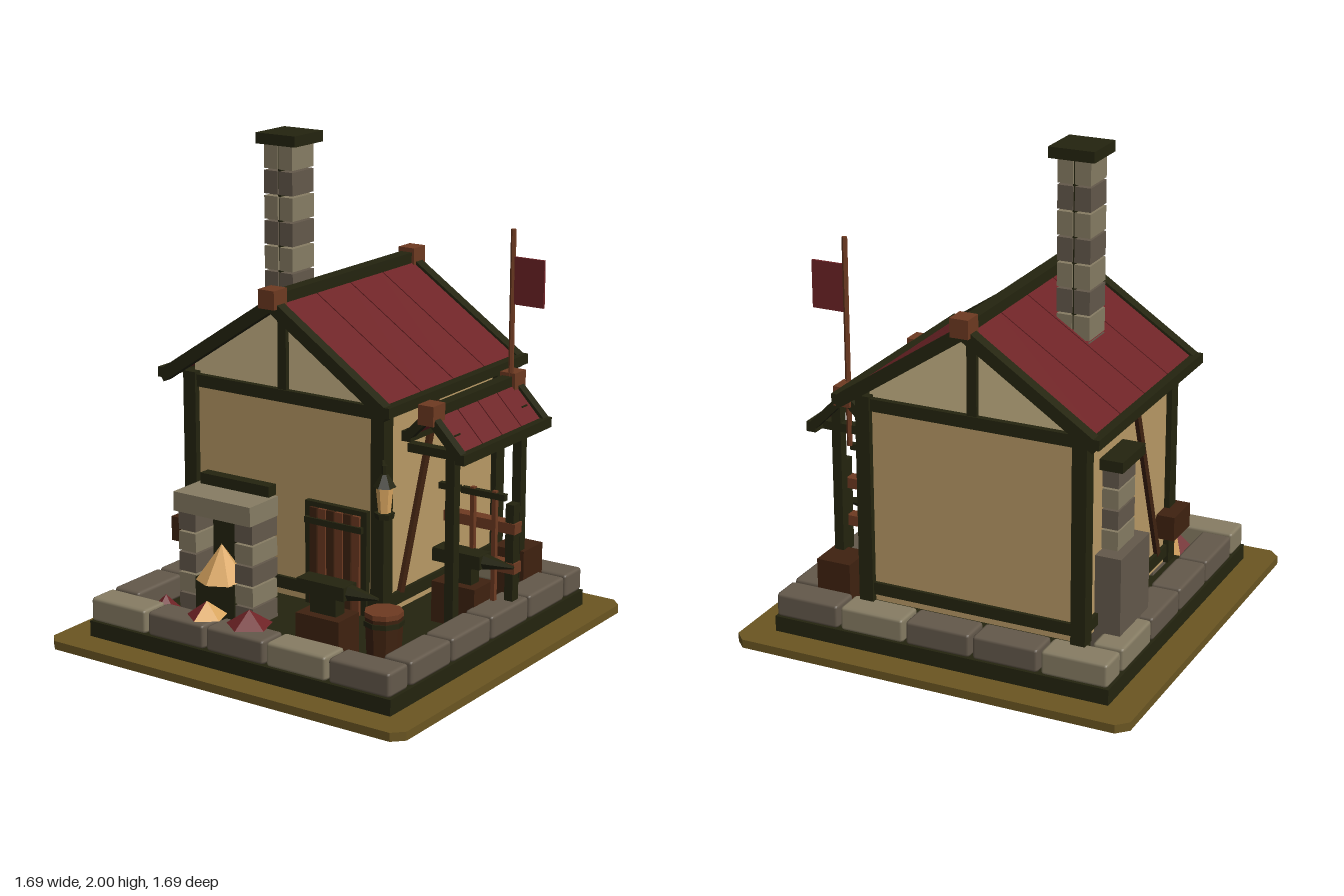
import * as THREE from 'three';
import { RoundedBoxGeometry } from 'three/addons/geometries/RoundedBoxGeometry.js';

const paint = (name, color) => {
  const m = new THREE.MeshStandardMaterial({ color });
  m.name = name;
  return m;
};

export function createModel() {
  const model = new THREE.Group();
  model.name = 'forgeHouse';
  const olive = paint('olive ground', 0x6b5622), dark = paint('dark timber', 0x24240f);
  const plaster = paint('plaster', 0xb99a66), pale = paint('pale plaster', 0xcab688);
  const red = paint('red', 0x6e2326), amber = paint('amber', 0xdba761);
  const brown = paint('brown wood', 0x6e3a21), umber = paint('dark brown wood', 0x3f2210);
  const stoneLight = paint('light stone', 0x877d64), stoneDark = paint('dark stone', 0x64594b);

  // Helpers
  const add = (name, geo, mat) => {
    const m = new THREE.Mesh(geo, mat);
    m.name = name;
    model.add(m);
    return m;
  };
  const box = (name, mat, x0, x1, y0, y1, z0, z1) => {
    const m = add(name, new THREE.BoxGeometry(x1 - x0, y1 - y0, z1 - z0), mat);
    m.position.set((x0 + x1) / 2, (y0 + y1) / 2, (z0 + z1) / 2);
    return m;
  };
  const flat = (geo) => {
    const g = geo.toNonIndexed();
    g.computeVertexNormals();
    return g;
  };
  const prism = (name, mat, pts, z0, z1) => {
    const shape = new THREE.Shape(pts.map(p => new THREE.Vector2(...p)));
    const g = new THREE.ExtrudeGeometry(shape, { depth: z1 - z0, bevelEnabled: false });
    return add(name, g.translate(0, 0, z0), mat);
  };
  const round = (name, mat, rTop, rBottom, sides, x, y0, y1, z) => {
    const m = add(name, flat(new THREE.CylinderGeometry(rTop, rBottom, y1 - y0, sides)), mat);
    m.position.set(x, (y0 + y1) / 2, z);
    return m;
  };
  // Sloping slab from ridge to eave: plumb cut at the ridge, square cut at the eave
  const slab = (name, mat, [rx, ry], [ex, ey], t, z0, z1) => {
    const dx = ex - rx, dy = ey - ry, len = Math.hypot(dx, dy), s = Math.sign(dx);
    const pts = [[rx, ry], [ex, ey], [ex + s * dy / len * t, ey - Math.abs(dx) / len * t], [rx, ry - t * len / Math.abs(dx)]];
    return prism(name, mat, s > 0 ? pts.reverse() : pts, z0, z1);
  };
  // Stacked courses of masonry with open joints
  const courses = (name, x0, x1, z0, z1, y0, y1, n, phase = 0) => {
    const h = (y1 - y0) / n;
    for (let i = 0; i < n; i++)
      box(name, (i + phase) % 2 ? stoneLight : stoneDark, x0, x1, y0 + i * h + 0.004, y0 + (i + 1) * h - 0.004, z0, z1);
  };
  // Roof slope with separated panels, rafters at both ends and an eave beam
  const roofSlope = (name, ridge, eave, t, zBack, zFront, trim) => {
    const s = Math.sign(eave[0] - ridge[0]);
    const pitch = (zFront - zBack - 2 * trim) / 4;
    for (let i = 0; i < 4; i++) {
      const z = zBack + trim + i * pitch;
      slab(name + 'Panel', red, [ridge[0], ridge[1] - 0.012], [eave[0] - s * 0.02, eave[1] + 0.004], t * 0.5, z + 0.003, z + pitch - 0.003);
    }
    slab(name + 'Rafter', dark, ridge, eave, t, zFront - trim, zFront);
    slab(name + 'Rafter', dark, ridge, eave, t, zBack, zBack + trim);
    const xs = [eave[0], eave[0] - s * 0.04].sort((a, b) => a - b);
    box(name + 'EaveBeam', dark, xs[0], xs[1], eave[1] - 0.025, eave[1] + 0.016, zBack, zFront);
  };

  // Ground plate with clipped corners, and foundation
  const a = 0.845, c = 0.8;
  prism('ground', olive, [[-c, -a], [c, -a], [a, -c], [a, c], [c, a], [-c, a], [-a, c], [-a, -c]], 0, 0.035).rotation.x = -Math.PI / 2;
  box('foundation', dark, -0.72, 0.72, 0.035, 0.1, -0.72, 0.72);

  // Border stones
  const stone = (x, z, w, d, light) => {
    const m = add('borderStone', new RoundedBoxGeometry(w, 0.1, d, 1, 0.014), light ? stoneLight : stoneDark);
    m.position.set(x, 0.15, z);
  };
  for (let i = 0; i < 5; i++) {
    const x = (i - 2) * 0.288;
    stone(x, 0.652, 0.276, 0.13, i === 0 || i === 3);
    stone(x, -0.652, 0.276, 0.13, i === 0 || i === 3);
  }
  for (const s of [-1, 1])
    for (let i = 0; i < 4; i++) stone(s * 0.652, (i - 1.5) * 0.288, 0.13, 0.276, s < 0 && i === 0);

  // House walls, gable and timber frame
  box('walls', plaster, -0.555, 0.365, 0.2, 1.03, -0.595, 0.25);
  prism('gable', pale, [[-0.545, 1.03], [0.345, 1.03], [0.345, 1.088], [-0.1, 1.384], [-0.545, 1.088]], -0.585, 0.24);
  for (const x of [-0.578, 0.33])
    for (const z of [-0.62, 0.212]) box('cornerPost', dark, x, x + 0.06, 0.2, 1.06, z, z + 0.064);
  for (const y of [0.23, 1.0]) {
    for (const z of [-0.61, 0.215]) box('crossBeam', dark, -0.56, 0.37, y, y + 0.05, z, z + 0.05);
    for (const x of [-0.57, 0.335]) box('sideBeam', dark, x, x + 0.045, y, y + 0.05, -0.6, 0.25);
  }
  for (const z of [-0.605, 0.225]) box('kingPost', dark, -0.12, -0.08, 1.04, 1.38, z, z + 0.035);
  for (const x of [-0.56, 0.37]) {
    const brace = box('diagonalBrace', umber, x - 0.012, x + 0.012, 0.25, 1.02, -0.012, 0.018);
    brace.rotation.x = -0.33;
  }

  // Main roof
  for (const x of [-0.655, 0.455]) roofSlope('roof', [-0.1, 1.432], [x, 1.062], 0.05, -0.685, 0.34, 0.048);
  box('ridgeBeam', dark, -0.127, -0.073, 1.395, 1.447, -0.685, 0.34);
  for (const z of [-0.705, 0.275]) box('ridgeBlock', brown, -0.138, -0.062, 1.39, 1.465, z, z + 0.085);

  // Main chimney
  courses('chimneyBrick', -0.38, -0.314, -0.158, -0.012, 1.14, 1.956, 8, 0);
  courses('chimneyBrick', -0.306, -0.242, -0.158, -0.012, 1.14, 1.956, 8, 0);
  box('chimneyCore', dark, -0.318, -0.302, 1.14, 1.956, -0.15, -0.02);
  box('chimneyCap', dark, -0.405, -0.215, 1.956, 2, -0.185, 0.008);

  // Side flue and crate on the left wall
  box('flueBase', stoneDark, -0.662, -0.54, 0.1, 0.52, -0.48, -0.2);
  courses('flueBrick', -0.622, -0.54, -0.42, -0.26, 0.52, 0.86, 4, 1);
  box('flueCap', dark, -0.65, -0.53, 0.858, 0.902, -0.45, -0.23);
  box('wallCrate', umber, -0.633, -0.5, 0.34, 0.442, 0.13, 0.3);

  // Hearth with flame
  courses('hearthLeg', -0.495, -0.41, 0.26, 0.425, 0.1, 0.53, 5, 0);
  courses('hearthLeg', -0.215, -0.128, 0.26, 0.425, 0.1, 0.53, 5, 0);
  box('hearthBack', dark, -0.41, -0.215, 0.1, 0.53, 0.25, 0.31);
  box('hearthBed', dark, -0.41, -0.215, 0.1, 0.265, 0.31, 0.43);
  box('hearthLintel', stoneLight, -0.502, -0.122, 0.53, 0.61, 0.26, 0.447);
  box('hearthShelf', dark, -0.48, -0.14, 0.61, 0.655, 0.24, 0.3);
  round('flame', amber, 0, 0.105, 7, -0.31, 0.262, 0.41, 0.385);

  // Door
  box('doorFrame', dark, 0.02, 0.31, 0.2, 0.625, 0.24, 0.275);
  for (let i = 0; i < 6; i++) {
    const x = 0.05 + i * 0.04;
    box('doorSlat', i % 2 ? brown : umber, x, x + 0.034, 0.2, 0.605, 0.27, 0.288);
  }
  for (const y of [0.28, 0.54]) box('doorBand', dark, 0.03, 0.3, y, y + 0.025, 0.28, 0.296);

  // Piles of faceted coals, some facets amber and some red
  const pile = (x, y, z, r, h, facets) => {
    const g = flat(new THREE.ConeGeometry(r, h, 5, 1, true));
    g.clearGroups();
    facets.forEach((f, i) => g.addGroup(i * 3, 3, f));
    add('coalPile', g, [red, amber]).position.set(x, y + h / 2, z);
  };
  pile(-0.49, 0.12, 0.52, 0.08, 0.08, [0, 0, 1, 0, 0]);
  pile(-0.205, 0.2, 0.62, 0.082, 0.062, [1, 1, 1, 0, 0]);
  pile(-0.01, 0.2, 0.605, 0.094, 0.062, [0, 0, 1, 0, 0]);

  // Anvils on wooden blocks
  const anvil = (x, z) => {
    box('anvilBlock', umber, x - 0.1, x + 0.1, 0.1, 0.27, z - 0.07, z + 0.07);
    box('anvilWaist', dark, x - 0.06, x + 0.06, 0.27, 0.35, z - 0.03, z + 0.03);
    box('anvilFace', dark, x - 0.115, x + 0.105, 0.345, 0.4, z - 0.043, z + 0.043);
    const horn = round('anvilHorn', dark, 0.006, 0.035, 6, x + 0.165, 0.3, 0.44, z);
    horn.rotation.z = -Math.PI / 2;
  };
  anvil(0.265, 0.473);
  anvil(0.5, -0.125);

  // Barrel beside the anvil
  round('barrel', umber, 0.075, 0.065, 9, 0.52, 0.1, 0.31, 0.465);
  round('barrelRim', dark, 0.079, 0.079, 9, 0.52, 0.275, 0.295, 0.465);
  round('barrelLid', brown, 0.076, 0.076, 9, 0.52, 0.31, 0.33, 0.465);

  // Lean-to roof, posts and crate
  roofSlope('leanTo', [0.49, 1.03], [0.658, 0.86], 0.035, -0.535, 0.13, 0.04);
  roofSlope('leanTo', [0.49, 1.03], [0.375, 0.915], 0.035, -0.535, 0.13, 0.04);
  box('leanToRidge', dark, 0.465, 0.512, 0.985, 1.036, -0.53, 0.13);
  for (const z of [-0.55, 0.056]) box('leanToRidgeBlock', brown, 0.455, 0.525, 0.97, 1.05, z, z + 0.085);
  for (const z of [-0.475, 0.03]) {
    box('leanToPost', dark, 0.54, 0.58, 0.1, 0.93, z, z + 0.042);
    box('leanToTie', dark, 0.36, 0.64, 0.83, 0.865, z, z + 0.042);
  }
  box('crate', umber, 0.45, 0.597, 0.1, 0.32, -0.59, -0.44);

  // Tool rack with leaning tools
  box('rackPost', dark, 0.655, 0.692, 0.1, 0.6, -0.238, -0.192);
  for (const y of [0.315, 0.48]) box('rackRail', brown, 0.37, 0.7, y, y + 0.044, -0.242, -0.188);
  for (const x of [0.41, 0.52, 0.62]) {
    box('toolHandle', brown, x - 0.009, x + 0.009, 0.1, 0.655, -0.178, -0.158);
    box('toolHead', dark, x - 0.05, x + 0.05, 0.622, 0.648, -0.18, -0.156);
  }

  // Flag
  round('flagPole', brown, 0.011, 0.011, 6, 0.5, 0.78, 1.635, -0.475);
  box('flag', red, 0.508, 0.645, 1.332, 1.525, -0.48, -0.47);

  // Hanging lantern
  const lx = 0.437, lz = 0.34;
  round('lanternBase', dark, 0.04, 0.036, 6, lx, 0.645, 0.668, lz);
  round('lanternGlass', amber, 0.034, 0.024, 6, lx, 0.668, 0.77, lz);
  round('lanternRoof', dark, 0.014, 0.045, 6, lx, 0.77, 0.82, lz);
  round('lanternTop', dark, 0.012, 0.012, 6, lx, 0.82, 0.855, lz);
  const from = new THREE.Vector3(0.36, 0.85, 0.24), to = new THREE.Vector3(lx, 0.83, lz);
  add('lanternBracket', new THREE.TubeGeometry(new THREE.LineCurve3(from, to), 1, 0.009, 5), dark);

  return model;
}
